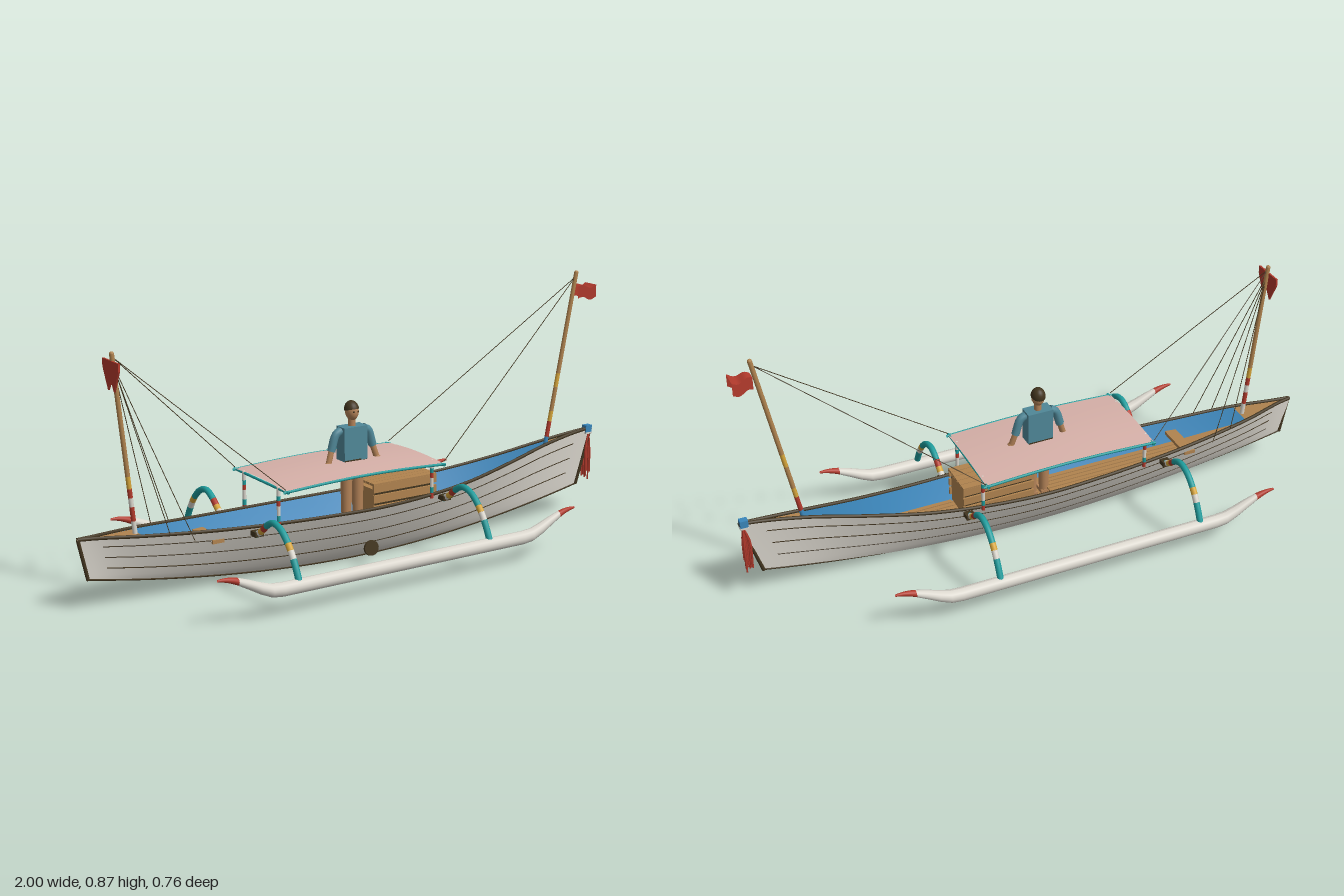
import * as THREE from 'three';

const mat = (name, color, double = true) => {
  const m = new THREE.MeshStandardMaterial({ color, side: double ? THREE.DoubleSide : THREE.FrontSide });
  m.name = name;
  return m;
};

export function createModel() {
  const root = new THREE.Group();
  root.name = 'outriggerBoat';
  const white = mat('white paint', 0xd9d5cc), red = mat('red', 0xb23a2c), teal = mat('teal', 0x1f9c9c);
  const yellow = mat('yellow', 0xd6a53a), wood = mat('wood', 0xb0834f), dark = mat('dark wood', 0x42351f);
  const blue = mat('blue paint', 0x3a86bb), pink = mat('canopy cloth', 0xd6b0a8);
  const shirt = mat('shirt', 0x508898), skin = mat('skin', 0xb48358);

  const V = (x, y, z) => new THREE.Vector3(x, y, z);
  const add = (name, geo, m, parent = root) => {
    const mesh = new THREE.Mesh(geo, m);
    mesh.name = name;
    parent.add(mesh);
    return mesh;
  };
  const box = (name, m, w, h, d, x, y, z, parent) => {
    const b = add(name, new THREE.BoxGeometry(w, h, d), m, parent);
    b.position.set(x, y, z);
    return b;
  };
  // surface from a rule f(s, t), both running 0..1
  const grid = (f, nu, nv) => {
    const pos = [], idx = [];
    for (let i = 0; i <= nu; i++) for (let j = 0; j <= nv; j++) pos.push(...f(i / nu, j / nv).toArray());
    for (let i = 0; i < nu; i++) for (let j = 0; j < nv; j++) {
      const a = i * (nv + 1) + j, b = a + nv + 1;
      idx.push(a, a + 1, b, b, a + 1, b + 1);
    }
    const g = new THREE.BufferGeometry();
    g.setAttribute('position', new THREE.Float32BufferAttribute(pos, 3));
    g.setIndex(idx);
    g.computeVertexNormals();
    return g;
  };
  const tube = (name, pts, r, m, seg = 24, sides = 8, parent = root) =>
    add(name, new THREE.TubeGeometry(new THREE.CatmullRomCurve3(pts), seg, r, sides), m, parent);
  // round bar painted in bands; each band is [end fraction, material]
  const banded = (name, pts, r, bands) => {
    const g = new THREE.Group(), c = new THREE.CatmullRomCurve3(pts);
    g.name = name;
    let a = 0;
    for (const [b, m] of bands) {
      const n = Math.max(2, Math.ceil((b - a) * 12)), p = [];
      for (let i = 0; i <= n; i++) p.push(c.getPointAt(a + (b - a) * i / n));
      tube('band', p, r, m, n * 2, 12, g);
      a = b;
    }
    const cap = add('endCap', new THREE.SphereGeometry(r, 12, 6), bands[bands.length - 1][1], g);
    cap.position.copy(pts[pts.length - 1]);
    root.add(g);
  };

  // hull lines, evenly spaced from stern (-x) to bow (+x)
  const line = (vals) => {
    const c = new THREE.SplineCurve(vals.map((v, i) => new THREE.Vector2(i, v)));
    return (u) => c.getPoint((u + 1) / 2).y;
  };
  const beam = line([.004, .05, .08, .102, .116, .122, .11, .086, .053, .022, .004]);
  const sheer = line([.232, .222, .21, .202, .197, .195, .2, .214, .242, .277, .3]);
  // u along the hull, v from keel to rim, w from side to side, inset is the wall thickness
  const hull = (u, v, w = 1, inset = 0) => {
    const xk = u < 0 ? .965 * u : .93 * u, xs = u < 0 ? .995 * u : .99 * u;
    const k = .1 * Math.abs(u) ** 1.9;
    return V(xk + (xs - xk) * v, k + (sheer(u) - k) * v, w * Math.max(0, beam(u) * v ** .8 - inset));
  };
  const lerp = THREE.MathUtils.lerp;
  const along = (a, b, f, n = 40) => Array.from({ length: n + 1 }, (_, i) => f(lerp(a, b, i / n)));

  for (const s of [1, -1]) {
    add('hullSide', grid((a, b) => hull(a * 2 - 1, b, s), 64, 14), white);
    add('innerWall', grid((a, b) => hull(lerp(-.88, .86, a), lerp(.5, 1, b), s, .006), 48, 5), blue);
    tube('gunwale', along(-1, 1, (u) => hull(u, 1, s, .002)), .0058, dark, 80);
    for (const v of [.3, .55, .8])
      tube('plankSeam', along(-.93, .93, (u) => hull(u, v, s)), .0017, dark, 80, 5);
  }
  add('floor', grid((a, b) => hull(lerp(-.86, .84, a), .6, b * 2 - 1, .004), 40, 2), wood);
  add('sternDeck', grid((a, b) => hull(lerp(-1, -.8, a), .98, b * 2 - 1), 8, 2), wood);
  add('bowDeck', grid((a, b) => hull(lerp(.8, 1, a), .98, b * 2 - 1), 8, 2), wood);
  tube('keel', along(-1, 1, (u) => hull(u, .012)), .003, dark, 80, 6);
  tube('bowStem', along(0, 1, (v) => hull(1, v), 6), .006, dark);
  tube('sternPost', along(0, 1, (v) => hull(-1, v), 6), .006, dark);

  // floor gratings
  for (const [x0, x1] of [[-.62, -.05], [.28, .56]]) {
    const n = x0 < 0 ? 2 : 1;
    for (let i = -n; i <= n; i++)
      box('floorSlat', wood, x1 - x0, .006, .014, (x0 + x1) / 2, x0 < 0 ? .138 : .158, i * .018);
  }
  box('thwart', wood, .04, .012, .15, -.56, .17, 0);

  // slatted cargo box under the canopy
  box('crateCore', wood, .235, .1, .115, .145, .185, 0);
  for (const y of [.17, .205, .24]) for (const s of [1, -1])
    box('crateBoard', wood, .25, .026, .008, .145, y, s * .061);
  for (let i = -2; i <= 2; i++) box('crateLidBoard', wood, .25, .008, .024, .145, .254, i * .0262);
  for (const s of [1, -1]) for (const y of [.1875, .2225])
    box('crateGap', dark, .236, .008, .002, .145, y, s * .058);

  // outrigger floats with red upturned tips
  const floatPart = (z, a, b) => grid((p, q) => {
    const s = lerp(a, b, p), e = Math.max(0, (Math.abs(s) - .7) / .3), t = q * Math.PI * 2;
    const r = lerp(.022, .0035, e ** 1.5);
    return V(-.05 + .67 * s, .088 + .067 * Math.sin(e * Math.PI / 2) ** 1.6 + r * Math.cos(t), z + r * Math.sin(t));
  }, 32, 16);
  for (const s of [1, -1]) {
    const z = .358 * s;
    add('outriggerFloat', floatPart(z, -.9, .9), white);
    add('floatTip', floatPart(z, -1, -.9), red);
    add('floatTip', floatPart(z, .9, 1), red);
    for (const x of [-.445, .27]) {
      const p = [[.18, .105], [.2, .14], [.225, .17], [.245, .21], [.236, .255], [.2, .3], [.15, .335], [.105, .358]];
      banded('outriggerArm', p.map(([y, zz]) => V(x, y, zz * s)), .0105, [[.05, teal], [.1, white],
        [.16, yellow], [.23, red], [.66, teal], [.73, yellow], [.81, white], [1, teal]]);
      box('armLashing', dark, .03, .016, .03, x, .186, s * .112);
    }
  }

  // canopy, frame and posts
  const roof = (a, b) => V(lerp(-.37, .23, a), .319 + .01 * Math.sin(a * Math.PI) + .007 * Math.sin(b * Math.PI),
    lerp(-.16, .16, b));
  add('canopy', grid(roof, 20, 12), pink);
  for (const s of [0, 1]) {
    tube('canopySideRail', along(-.01, 1.01, (a) => roof(a, s).add(V(0, -.003, 0)), 16), .0045, teal);
    tube('canopyEndRail', [V(s ? .225 : -.365, .316, -.17), V(s ? .225 : -.365, .316, .17)], .0045, teal);
    tube('canopyRib', [V(s ? .03 : -.17, .322, -.16), V(s ? .03 : -.17, .331, 0), V(s ? .03 : -.17, .322, .16)], .003, teal);
    for (const x of [-.365, .22])
      banded('canopyPost', [V(x, .19, s ? .108 : -.108), V(x, .318, s ? .108 : -.108)], .006,
        [[.15, red], [.3, teal], [.55, white], [.68, red], [.8, teal], [1, white]]);
  }

  // masts
  banded('sternMast', [V(-.805, .215, 0), V(-.862, .78, 0)], .0075,
    [[.08, white], [.16, red], [.21, white], [.26, red], [.33, yellow], [1, wood]]);
  banded('bowMast', [V(.787, .265, 0), V(.905, .866, 0)], .0075,
    [[.05, blue], [.14, red], [.2, yellow], [.34, wood], [.42, yellow], [1, wood]]);

  // rigging
  const rope = (a, b) => tube('rope', [a, b], .0013, dark, 1, 5);
  for (const s of [1, -1]) {
    rope(V(-.86, .77, 0), V(-.37, .325, .16 * s));
    rope(V(-.86, .75, 0), V(-.645, .19, .08 * s));
    rope(V(-.86, .75, 0), V(-.72, .215, .066 * s));
    rope(V(.9, .85, 0), V(.23, .325, .16 * s));
  }

  // stern pennant
  const pen = new THREE.Shape([[-.054, .76], [-.054, .735], [-.02, .668], [0, .7], [.02, .668], [.054, .735],
    [.054, .76]].map(([x, y]) => new THREE.Vector2(x, y)));
  const pennant = add('sternPennant', new THREE.ExtrudeGeometry(pen, { depth: .006, bevelEnabled: false }), red);
  pennant.rotation.y = Math.PI / 2;
  pennant.position.x = -.868;
  // bow flag, a folded cloth with a flat top and two hanging sides
  const wave = (a) => .006 * Math.sin(a * 7);
  add('bowFlagTop', grid((a, b) => V(lerp(.905, .972, a), .818 + wave(a), (b * 2 - 1) * lerp(.014, .03, a)), 10, 2), red);
  for (const s of [1, -1])
    add('bowFlagSide', grid((a, b) => V(lerp(.905, .972, a), lerp(.818, .776, b) + wave(a),
      s * lerp(.014, .03, a)), 10, 2), red);

  // bow tassel
  let seed = 7;
  const rnd = () => (seed = (seed * 16807) % 2147483647) / 2147483647;
  for (let i = 0; i < 22; i++) {
    const z = (rnd() - .5) * .042, x = .975 + (rnd() - .5) * .03, y = .11 + rnd() * .05;
    tube('tasselStrand', [V(.982, .285, z * .3), V(x, .23, z * .85), V(x, y, z)], .0028, red, 6, 5);
  }
  box('bowCap', blue, .026, .03, .022, .978, .297, 0);
  box('bowCapBand', white, .028, .006, .024, .978, .284, 0);

  // boatman
  const man = new THREE.Group();
  man.name = 'boatman';
  man.position.x = -.023;
  root.add(man);
  box('torso', shirt, .088, .112, .05, 0, .392, 0, man);
  box('shorts', dark, .086, .06, .05, 0, .31, 0, man);
  add('neck', new THREE.CylinderGeometry(.012, .012, .03, 12), skin, man).position.y = .458;
  const head = add('head', new THREE.SphereGeometry(.025, 20, 14), skin, man);
  head.scale.set(.85, 1.2, 1);
  head.position.y = .495;
  const hair = add('hair', new THREE.SphereGeometry(.027, 20, 8, 0, Math.PI * 2, 0, Math.PI * .5), dark, man);
  hair.scale.set(.88, 1.15, 1);
  hair.position.set(0, .5, -.002);
  hair.rotation.x = -.25;
  for (const s of [1, -1]) {
    box('eye', dark, .005, .004, .004, s * .008, .498, .0235, man);
    tube('sleeve', [V(s * .042, .437, 0), V(s * .062, .425, 0), V(s * .08, .372, 0)], .014, shirt, 10, 10, man);
    tube('forearm', [V(s * .078, .378, 0), V(s * .092, .335, .004)], .01, skin, 4, 10, man);
    add('hand', new THREE.SphereGeometry(.0125, 12, 8), skin, man).position.set(s * .094, .328, .005);
    add('leg', new THREE.CylinderGeometry(.02, .016, .17, 14), skin, man).position.set(s * .022, .205, 0);
    box('foot', skin, .03, .016, .055, s * .022, .122, .01, man);
  }

  // paddle blade beside the hull
  const blade = add('paddleBlade', new THREE.CylinderGeometry(.03, .03, .008, 16), dark);
  blade.scale.set(.9, 1, .85);
  blade.rotation.set(Math.PI / 2 - .12, 0, 0);
  blade.position.set(-.015, .058, .102);
  return root;
}
